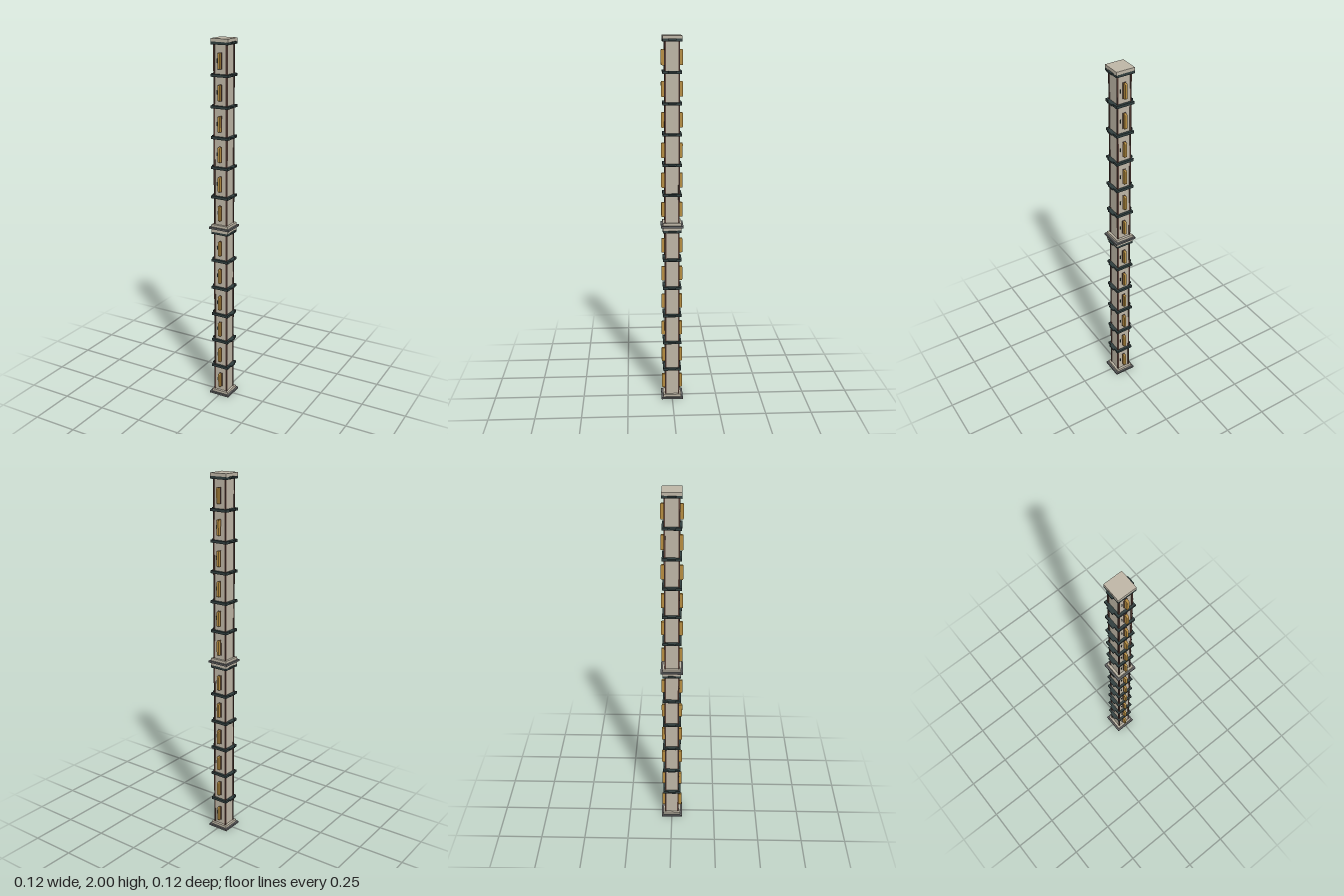
import * as THREE from 'three';

const mat = (name, color) => {
  const m = new THREE.MeshStandardMaterial({ color });
  m.name = name;
  return m;
};

export function createModel() {
  const stone = mat('warm stone', 0xbdb5a5);
  const slate = mat('slate grey', 0x5e5f60);
  const ledge = mat('dark green ledge', 0x2f3d3d);
  const brown = mat('brown trim', 0x5a4038);
  const gold = mat('gold', 0xb68d40);

  const tower = new THREE.Group();
  tower.name = 'tower';

  const box = (parent, name, material, w, h, d, x, y, z) => {
    const mesh = new THREE.Mesh(new THREE.BoxGeometry(w, h, d), material);
    mesh.name = name;
    mesh.position.set(x, y, z);
    parent.add(mesh);
    return mesh;
  };

  // Bay profile (depth, height) with rounded outer corners, extruded sideways
  const bayWidth = 0.012;
  const profile = new THREE.Shape();
  profile.moveTo(0.036, -0.04);
  profile.lineTo(0.051, -0.04);
  profile.quadraticCurveTo(0.057, -0.04, 0.057, -0.034);
  profile.lineTo(0.057, 0.034);
  profile.quadraticCurveTo(0.057, 0.04, 0.051, 0.04);
  profile.lineTo(0.036, 0.04);
  const bayGeometry = new THREE.ExtrudeGeometry(profile, {
    depth: bayWidth, bevelEnabled: false, curveSegments: 3,
  });
  bayGeometry.translate(0, 0, -bayWidth / 2);
  bayGeometry.rotateY(-Math.PI / 2);

  // One storey: bays and small slits on front and back, ledge above
  const addStorey = (parent, index) => {
    const storey = new THREE.Group();
    storey.name = 'storey';
    storey.position.y = 0.09 + index * 0.16;
    parent.add(storey);

    for (const turn of [0, Math.PI]) {
      const face = new THREE.Group();
      face.name = 'facade';
      face.rotation.y = turn;
      storey.add(face);
      const bay = new THREE.Mesh(bayGeometry, gold);
      bay.name = 'bay';
      face.add(bay);
      box(face, 'baySurround', brown, 0.018, 0.084, 0.004, 0, 0, 0.038);
      box(face, 'slit', ledge, 0.004, 0.02, 0.003, -0.02, 0, 0.038);
    }

    box(storey, 'ledge', ledge, 0.1, 0.014, 0.1, 0, 0.087, 0);
    box(storey, 'ledgeTabs', ledge, 0.12, 0.008, 0.042, 0, 0.09, 0);
  };

  // Two identical stacked sections
  for (let s = 0; s < 2; s++) {
    const section = new THREE.Group();
    section.name = s === 0 ? 'lowerSection' : 'upperSection';
    section.position.y = s;
    tower.add(section);

    box(section, 'basePlate', slate, 0.12, 0.01, 0.12, 0, 0.005, 0);
    box(section, 'baseStep', stone, 0.1, 0.014, 0.1, 0, 0.017, 0);
    box(section, 'shaft', stone, 0.074, 0.97, 0.074, 0, 0.495, 0);
    for (const x of [-1, 1]) {
      for (const z of [-1, 1]) {
        box(section, 'cornerPost', brown, 0.008, 0.956, 0.008, x * 0.036, 0.502, z * 0.036);
      }
    }
    for (let i = 0; i < 6; i++) addStorey(section, i);
    box(section, 'cap', stone, 0.1, 0.018, 0.1, 0, 0.991, 0);
  }

  return tower;
}
